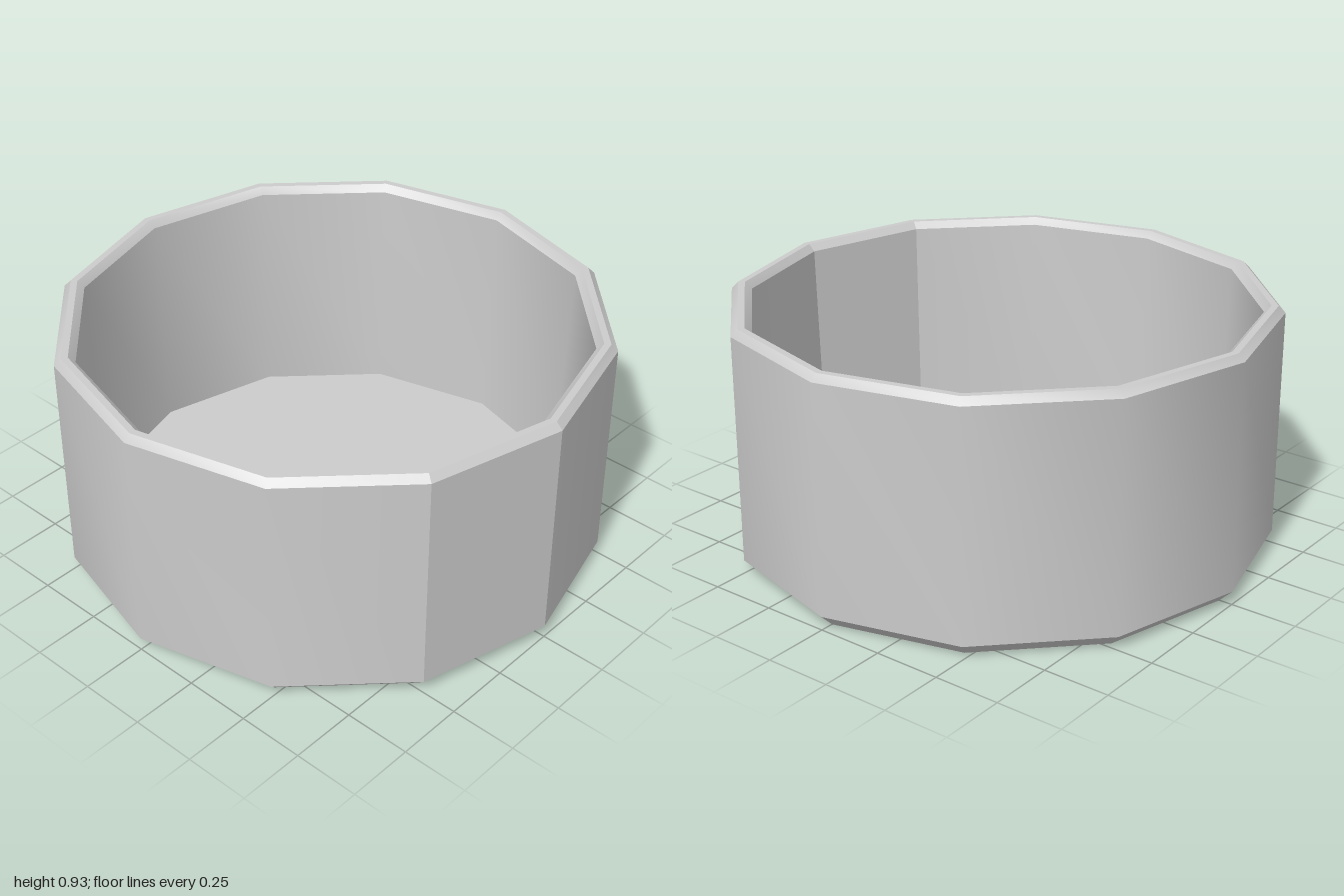
import * as THREE from 'three';

const SIDES = 12;
const STEP = (Math.PI * 2) / SIDES;

// Each band is one strip of the wall section [radius, height], running bottom -> outside -> rim -> inside
const BANDS = [
  ['footInnerSlope', [0.9, 0.05], [0.925, 0]],
  ['footRing', [0.925, 0], [0.95, 0]],
  ['footBevel', [0.95, 0], [1, 0.05]],
  ['outerWall', [1, 0.05], [1, 0.9]],
  ['rimOuterBevel', [1, 0.9], [0.975, 0.925]],
  ['rimTop', [0.975, 0.925], [0.95, 0.925]],
  ['rimInnerBevel', [0.95, 0.925], [0.925, 0.9]],
  ['innerWall', [0.925, 0.9], [0.9, 0.05]],
];

export function createModel() {
  const group = new THREE.Group();
  group.name = 'roundContainer';
  const smooth = new THREE.MeshStandardMaterial({ color: 0xcccccc });
  const sheet = new THREE.MeshStandardMaterial({ color: 0xcccccc, side: THREE.DoubleSide });

  // Strip of the wall covering a number of sides; its open ends keep a hard edge
  const addStrip = (name, from, to, start, count) => {
    const points = [new THREE.Vector2(...from), new THREE.Vector2(...to)];
    const geometry = new THREE.LatheGeometry(points, count, start * STEP, count * STEP);
    geometry.computeVertexNormals();
    const mesh = new THREE.Mesh(geometry, smooth);
    mesh.name = name;
    group.add(mesh);
  };

  // Eleven sides are shaded as one curve, the last one is a flat facet
  for (const [name, from, to] of BANDS) {
    addStrip(name, from, to, 3, SIDES - 1);
    addStrip(name + 'Facet', from, to, 2, 1);
  }

  // Floor, seen from inside and from below
  const floor = new THREE.Mesh(new THREE.CircleGeometry(0.9, SIDES).rotateX(-Math.PI / 2), sheet);
  floor.name = 'floor';
  floor.position.y = 0.05;
  group.add(floor);

  return group;
}
